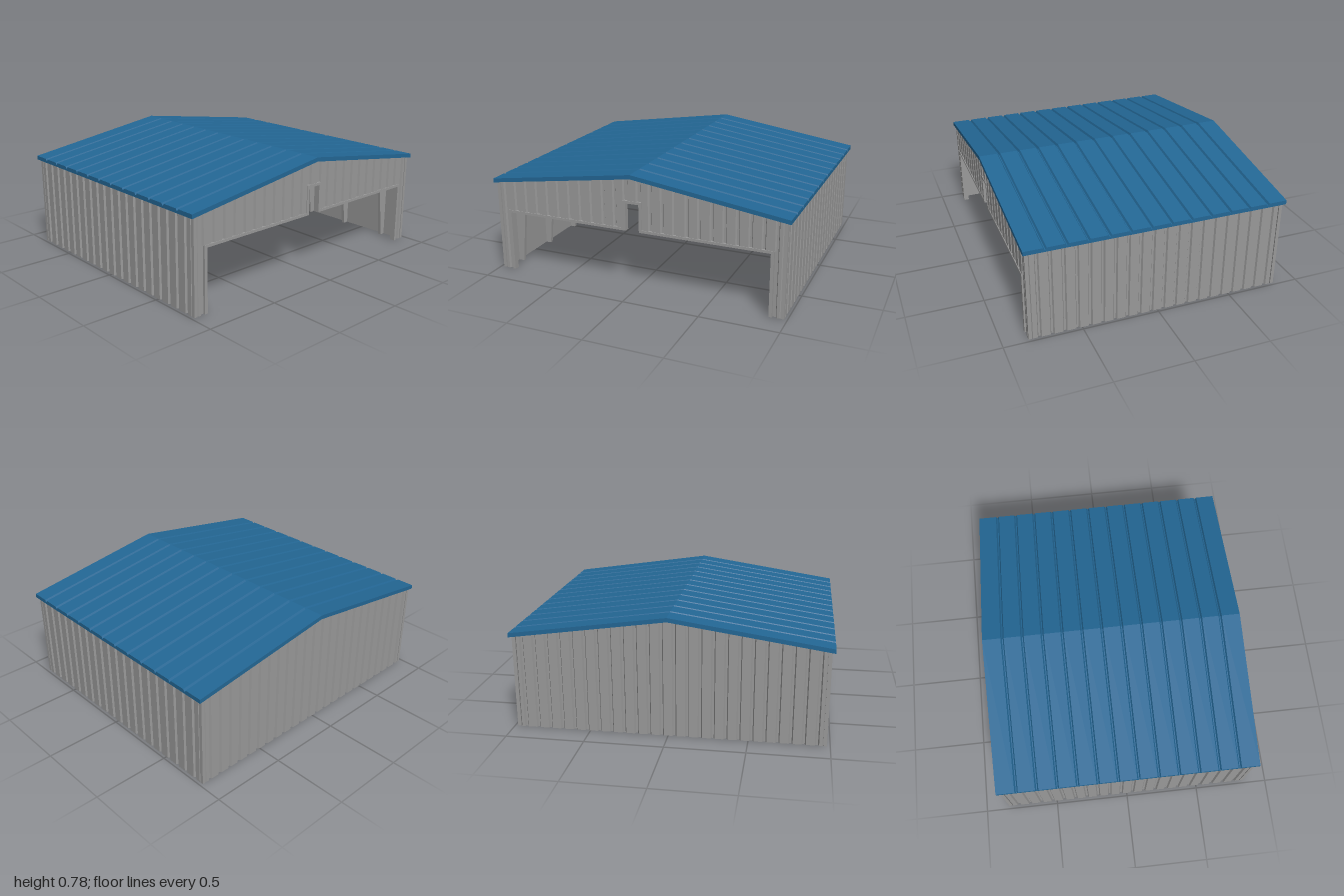
import * as THREE from 'three';

const grey = new THREE.MeshStandardMaterial({ color: 0x999999 });
grey.name = 'grey cladding';
const blue = new THREE.MeshStandardMaterial({ color: 0x236795 });
blue.name = 'blue roof';

const PITCH = 0.148, RIDGE = 0.75;
const under = (x) => RIDGE - PITCH * Math.abs(x); // underside of the roof

function add(parent, name, geometry, material = grey) {
  const mesh = new THREE.Mesh(geometry, material);
  mesh.name = name;
  parent.add(mesh);
  return mesh;
}

function extrude(points, depth, steps = 1) {
  const shape = new THREE.Shape(points.map(([x, y]) => new THREE.Vector2(x, y)));
  return new THREE.ExtrudeGeometry(shape, { depth, steps, bevelEnabled: false });
}

function reshape(geometry, rule) {
  const p = geometry.attributes.position, v = new THREE.Vector3();
  for (let i = 0; i < p.count; i++) {
    v.fromBufferAttribute(p, i);
    rule(v);
    p.setXYZ(i, v.x, v.y, v.z);
  }
  geometry.computeVertexNormals();
  return geometry;
}

// Raised cladding panel with bevelled sides; its top follows topAt(x)
function panel(lo, hi, bottom, topAt) {
  const g = new THREE.BoxGeometry(2, 2, 2, 2, 1, 1);
  return reshape(g, (v) => {
    const inset = v.z > 0 ? 0.008 : 0;
    v.x = (lo + hi) / 2 + v.x * ((hi - lo) / 2 - inset);
    v.y = v.y > 0 ? topAt(v.x) : bottom;
    v.z = v.z > 0 ? 0.012 : -0.002;
  });
}

// Rows of panels separated by narrow grooves
function cladding(wall, half, pitch, bottomAt, topAt) {
  const n = Math.floor(half / pitch + 0.5);
  for (let i = -n; i <= n; i++) {
    let lo = Math.max(i * pitch - pitch / 2 + 0.005, -half);
    let hi = Math.min(i * pitch + pitch / 2 - 0.005, half);
    if (hi - lo < 0.02) continue;
    const bottom = bottomAt(i * pitch);
    if (bottom > 0 && i === 1) lo = 0.055;
    if (bottom > 0 && i === -1) hi = -0.055;
    add(wall, 'claddingPanel', panel(lo, hi, bottom, topAt));
  }
}

// Wall group whose local +z points out of the building
function wallGroup(parent, name, angle, distance) {
  const wall = new THREE.Group();
  wall.name = name;
  wall.rotation.y = angle;
  wall.position.set(Math.sin(angle) * distance, 0, Math.cos(angle) * distance);
  parent.add(wall);
  return wall;
}

// Tapered post on the inner face of a wall, deeper at the top
function post(wall, x, top) {
  const inner = -0.055 - 0.1 * top;
  const g = extrude([[-0.012, 0], [-0.012, top], [inner, top], [-0.055, 0]], 0.022);
  g.translate(0, 0, -0.011);
  g.rotateY(-Math.PI / 2);
  add(wall, 'post', g).position.x = x;
}

// Half outline of the doorway, continued as its mirror image
function doorway(side, top, notch, notchTop) {
  const half = [[side, 0], [side, top], [notch, top], [notch, notchTop]];
  return [...half, ...half.map(([x, y]) => [-x, y]).reverse()];
}

export function createModel() {
  const model = new THREE.Group();
  model.name = 'openFrontedShed';
  const gableTop = (x) => under(x) + 0.008;
  const opening = doorway(0.885, 0.405, 0.045, 0.585);
  const frameOuter = doorway(0.905, 0.422, 0.065, 0.602);

  // Front wall with wide doorway and tall centre notch
  const front = wallGroup(model, 'frontWall', 0, 0.828);
  const gable = [[0.97, gableTop(0.97)], [0, gableTop(0)], [-0.97, gableTop(0.97)]];
  add(front, 'frontPlate', extrude(
    [[0.97, 0], ...gable, [-0.97, 0], ...[...opening].reverse()], 0.018)).position.z = -0.018;
  cladding(front, 0.96, 0.08, (x) => {
    const a = Math.abs(x);
    return a > 0.93 ? 0 : a < 0.04 ? 0.602 : 0.42;
  }, gableTop);
  add(front, 'doorFrame', extrude([...frameOuter, ...[...opening].reverse()], 0.036))
    .position.z = -0.02;

  // Back wall
  const back = wallGroup(model, 'backWall', Math.PI, 0.828);
  add(back, 'backPlate', extrude([[0.97, 0], ...gable, [-0.97, 0]], 0.018)).position.z = -0.018;
  cladding(back, 0.96, 0.08, () => 0, gableTop);
  for (let i = -2; i <= 2; i++) post(back, i * 0.327 + 0.01, 0.41);

  // Side walls
  for (const s of [1, -1]) {
    const side = wallGroup(model, s > 0 ? 'leftWall' : 'rightWall', s * Math.PI / 2, 0.968);
    const plate = add(side, 'sidePlate', new THREE.BoxGeometry(1.656, 0.61, 0.018));
    plate.position.set(0, 0.305, -0.009);
    cladding(side, 0.82, 0.081, () => 0, () => 0.61);
    for (let i = -2; i <= 2; i++) post(side, i * 0.345, 0.615);
  }

  // Corner trims
  for (const x of [-1, 1]) for (const z of [-1, 1]) {
    add(model, 'cornerTrim', new THREE.BoxGeometry(0.022, 0.61, 0.022))
      .position.set(x * 0.969, 0.305, z * 0.829);
  }

  // Roof: grooved section swept across the building and folded at the ridge
  const W = 0.853, N = 13, step = 2 * W / N;
  const section = [[W, RIDGE], [W, 0.777]];
  for (let i = 1; i < N; i++) {
    const z = W - i * step;
    section.push([z + 0.011, 0.777], [z + 0.003, 0.764], [z - 0.003, 0.764], [z - 0.011, 0.777]);
  }
  section.push([-W, 0.777], [-W, RIDGE]);
  const roof = extrude(section, 2, 2);
  roof.translate(0, 0, -1);
  roof.rotateY(Math.PI / 2);
  add(model, 'roof', reshape(roof, (v) => {
    const a = Math.abs(v.x);
    v.y -= PITCH * a;
    v.z *= 1 + 0.012 * (1 - a);
  }), blue);

  // Ceiling lining
  const c = 0.955, t = 0.006;
  add(model, 'ceiling', extrude([
    [c, under(c) - t], [c, under(c) + 0.001], [0, RIDGE + 0.001],
    [-c, under(c) + 0.001], [-c, under(c) - t], [0, RIDGE - t],
  ], 1.64)).position.z = -0.82;

  return model;
}
